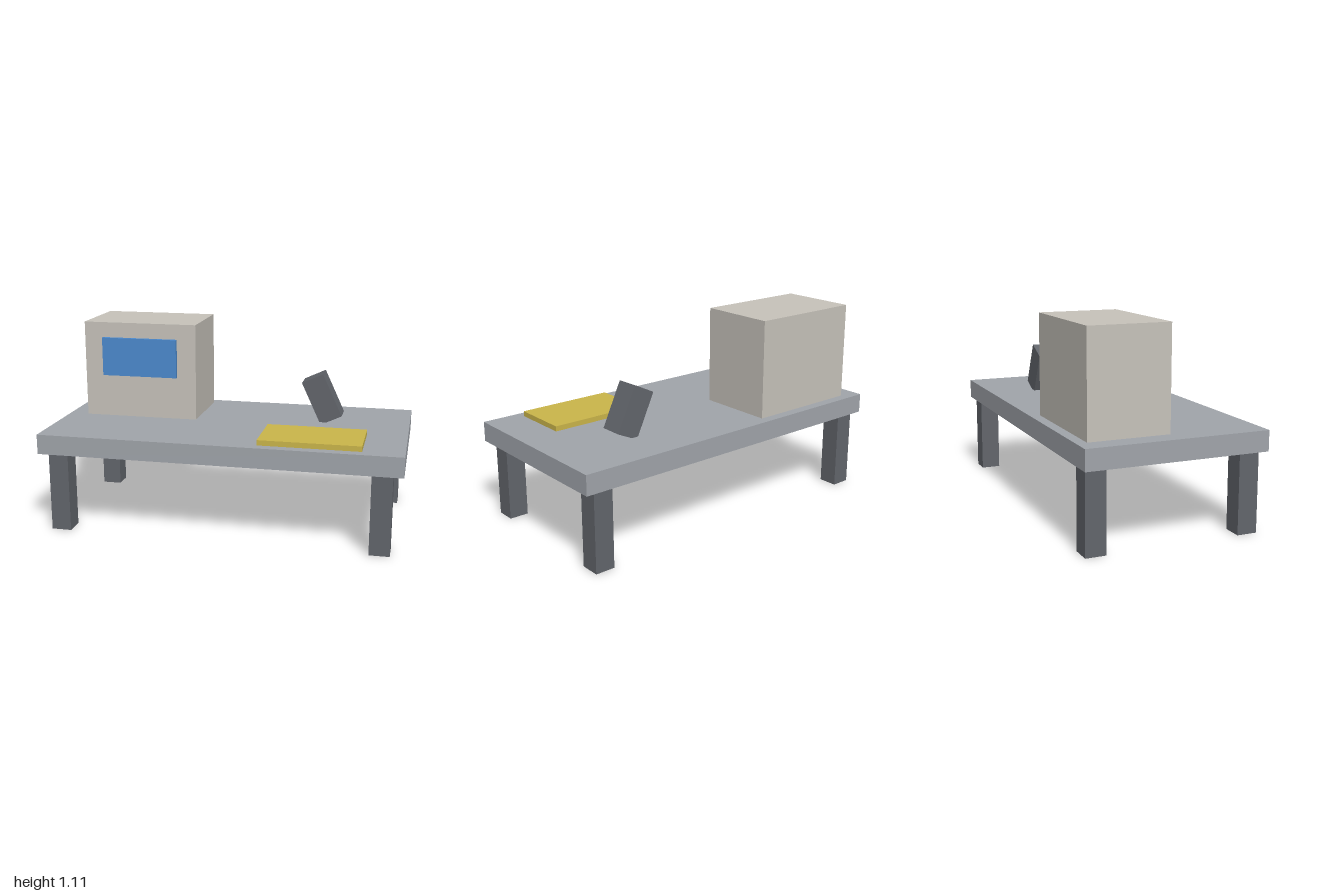
import * as THREE from 'three';

const mat = (name, color) => {
  const m = new THREE.MeshStandardMaterial({ color });
  m.name = name;
  return m;
};

export function createModel() {
  const group = new THREE.Group();
  const grey = mat('table grey', 0xa0a4aa);
  const dark = mat('dark grey', 0x62656b);
  const beige = mat('beige', 0xc6c2ba);
  const blue = mat('screen blue', 0x4c8ace);
  const yellow = mat('yellow', 0xcab54a);

  const box = (name, material, size, pos) => {
    const mesh = new THREE.Mesh(new THREE.BoxGeometry(...size), material);
    mesh.name = name;
    mesh.position.set(...pos);
    group.add(mesh);
    return mesh;
  };

  // Table: slab on four square legs
  box('tableTop', grey, [2, 0.111, 1], [0, 0.5, 0]);
  for (const x of [-1, 1]) {
    for (const z of [-1, 1]) {
      const name = (z > 0 ? 'front' : 'back') + (x > 0 ? 'Left' : 'Right') + 'Leg';
      box(name, dark, [0.111, 0.4445, 0.111], [x * 0.889, 0.2222, z * 0.422]);
    }
  }

  // Monitor with raised screen
  box('monitorCase', beige, [0.667, 0.5555, 0.444], [-0.5555, 0.8333, -0.222]);
  box('screen', blue, [0.444, 0.222, 0.022], [-0.5555, 0.9125, 0.0115]);

  // Flat pad on the table
  box('pad', yellow, [0.5555, 0.029, 0.333], [0.5, 0.57, 0.2778]);

  // Leaning block, its lower corner sunk into the table
  const block = box('tiltedBlock', dark, [0.133, 0.267, 0.133], [0.4985, 0.689, -0.1667]);
  block.rotation.z = THREE.MathUtils.degToRad(25);

  return group;
}
